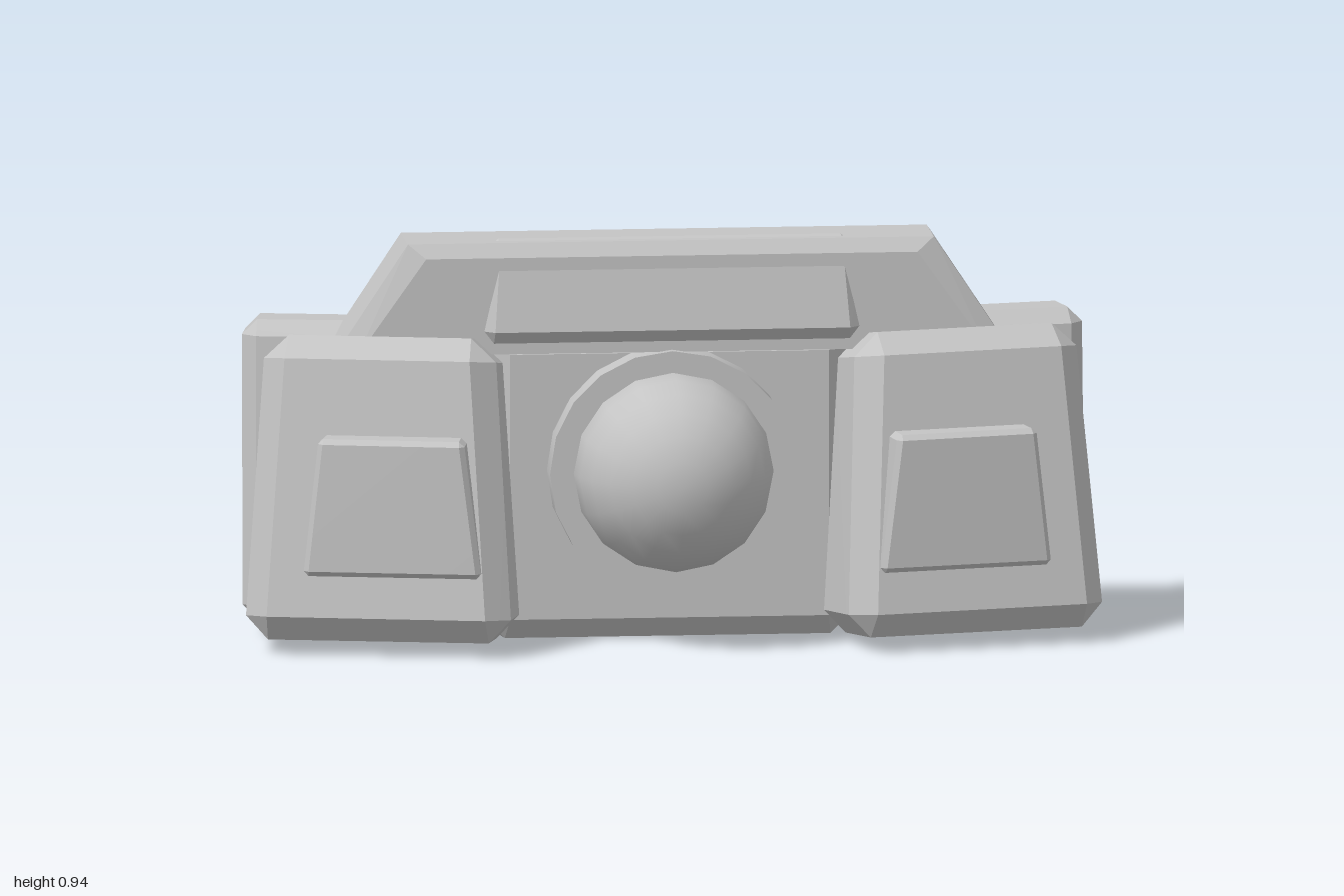
import * as THREE from 'three';
import { ConvexGeometry } from 'three/addons/geometries/ConvexGeometry.js';
import { toCreasedNormals } from 'three/addons/utils/BufferGeometryUtils.js';

const v = (x, y, z) => new THREE.Vector3(x, y, z);

// Six-sided block with bevelled edges. Corner order: x is bit 0, y is bit 1, z is bit 2.
function bevelBlock(corners, r) {
  const c = corners.map((p) => v(...p));
  const pts = [];
  c.forEach((p, i) => {
    const dir = [1, 2, 4].map((b) => c[i ^ b].clone().sub(p).normalize().multiplyScalar(r));
    [[0, 1], [1, 2], [0, 2]].forEach(([a, b]) => pts.push(p.clone().add(dir[a]).add(dir[b])));
  });
  return toCreasedNormals(new ConvexGeometry(pts), 0.3);
}

export function createModel() {
  const group = new THREE.Group();
  const grey = new THREE.MeshStandardMaterial({ color: 0xc4c4c4 });
  grey.name = 'light grey';

  const add = (name, geometry) => {
    const mesh = new THREE.Mesh(geometry, grey);
    mesh.name = name;
    group.add(mesh);
    return mesh;
  };

  // Central body
  add('body', bevelBlock([
    [-0.47, 0, -0.325], [0.47, 0, -0.325], [-0.47, 0.765, -0.325], [0.47, 0.765, -0.325],
    [-0.42, 0, 0], [0.42, 0, 0], [-0.42, 0.72, 0], [0.42, 0.72, 0],
  ], 0.05));

  // Upper bridge with sloping ends and bevelled long edges
  const bridge = [];
  for (const s of [-1, 1]) {
    for (const z of [0.03, -0.14]) bridge.push(v(s * 0.61, 0.937, z), v(s * 0.78, 0.68, z));
    for (const z of [0.053, -0.165]) bridge.push(v(s * 0.57, 0.905, z), v(s * 0.73, 0.68, z));
  }
  add('bridge', new ConvexGeometry(bridge));

  // Brow block through the middle of the bridge
  add('brow', bevelBlock([
    [-0.45, 0.69, -0.17], [0.45, 0.69, -0.17], [-0.45, 0.91, -0.172], [0.45, 0.91, -0.172],
    [-0.46, 0.69, 0.085], [0.46, 0.69, 0.085], [-0.44, 0.95, 0.04], [0.44, 0.95, 0.04],
  ], 0.045));

  // Round mount and dome
  const mount = add('domeMount', toCreasedNormals(new THREE.CylinderGeometry(0.285, 0.285, 0.12, 20), 0.6));
  mount.rotation.x = Math.PI / 2;
  mount.position.set(0, 0.4, 0.015);
  const dome = add('dome', new THREE.SphereGeometry(0.232, 16, 12));
  dome.rotation.x = Math.PI / 2;
  dome.position.set(0, 0.405, 0.095);

  // Mirrored side parts
  for (const [s, side] of [[1, 'left'], [-1, 'right']]) {
    const block = (name, corners, r) =>
      add(side + name, bevelBlock(corners.map(([x, y, z]) => [s * x, y, z]), r));

    // Front pod, turned outward and leaning back
    block('Pod', [
      [0.34, 0.01, -0.005], [0.94, 0.005, -0.135], [0.38, 0.7, -0.04], [0.9, 0.7, -0.16],
      [0.4, 0.04, 0.305], [1.01, 0.04, 0.165], [0.43, 0.737, 0.175], [0.95, 0.737, 0.055],
    ], 0.055);

    // Raised plate on the pod front
    block('PodPlate', [
      [0.445, 0.19, 0.18], [0.85, 0.19, 0.09], [0.485, 0.51, 0.165], [0.81, 0.51, 0.085],
      [0.465, 0.19, 0.282], [0.87, 0.19, 0.192], [0.505, 0.51, 0.272], [0.835, 0.51, 0.192],
    ], 0.012);

    // Rear wing behind the pod
    block('Wing', [
      [0.38, 0.04, -0.145], [0.95, 0.035, -0.255], [0.4, 0.73, -0.215], [0.95, 0.73, -0.325],
      [0.4, 0.04, 0.0], [0.985, 0.04, -0.105], [0.42, 0.735, -0.05], [0.98, 0.735, -0.15],
    ], 0.035);
  }
  return group;
}
